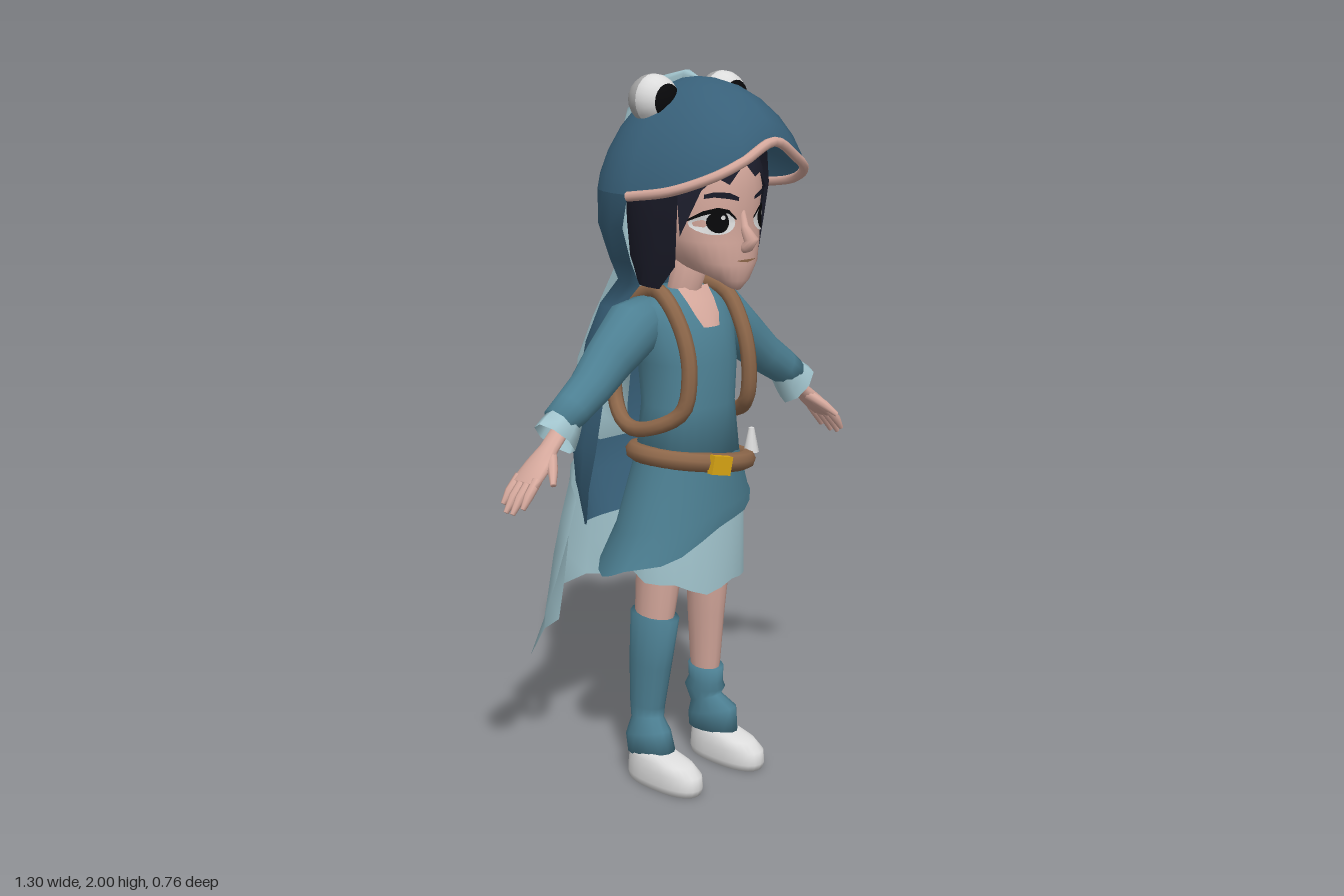
import * as THREE from 'three';

const mat = (name, color) => new THREE.MeshStandardMaterial({ name, color, side: THREE.DoubleSide });
const V = (p) => new THREE.Vector3(p[0], p[1], p[2]);
const spow = (v, p) => Math.sign(v) * Math.abs(v) ** p;

// Surface through rows of points; closed wraps each row, cap fills both ends
function surface(rows, closed = true, cap = closed) {
  const n = rows[0].length, pos = rows.flat(2), idx = [];
  for (let i = 0; i < rows.length - 1; i++)
    for (let j = 0; j < (closed ? n : n - 1); j++) {
      const k = (j + 1) % n, a = i * n + j, b = i * n + k;
      idx.push(a, b, b + n, a, b + n, a + n);
    }
  if (cap) [0, rows.length - 1].forEach((r, e) => {
    const c = pos.length / 3;
    pos.push(...[0, 1, 2].map((q) => rows[r].reduce((s, p) => s + p[q], 0) / n));
    for (let j = 0; j < n; j++) {
      const a = r * n + j, b = r * n + (j + 1) % n;
      idx.push(c, e ? a : b, e ? b : a);
    }
  });
  const g = new THREE.BufferGeometry();
  g.setAttribute('position', new THREE.Float32BufferAttribute(pos, 3));
  g.setIndex(idx);
  g.computeVertexNormals();
  return g;
}

// Horizontal oval between depths zf and zb; y may depend on the angle
function oval(y, cx, rx, zf, zb, p = 1, n = 24) {
  return Array.from({ length: n }, (_, j) => {
    const a = (j / n) * Math.PI * 2;
    return [cx + rx * spow(Math.sin(a), p), typeof y === 'function' ? y(a) : y,
      (zf + zb) / 2 + ((zf - zb) / 2) * spow(Math.cos(a), p)];
  });
}

// Half oval open at the front, from +x round the back to -x
function arc([y, w, zf, zb], p = 0.85, n = 16) {
  return Array.from({ length: n + 1 }, (_, k) => {
    const a = (k / n) * Math.PI;
    return [w * spow(Math.cos(a), p), y, zf + (zb - zf) * Math.abs(Math.sin(a)) ** p];
  });
}

// Limb through stations [x, y, z, radius, depth radius]
function limb(st, n = 12, cap = true) {
  return surface(st.map((s, i) => {
    const T = V(st[Math.min(i + 1, st.length - 1)]).sub(V(st[Math.max(i - 1, 0)])).normalize();
    const B = new THREE.Vector3(0, 0, 1).addScaledVector(T, -T.z).normalize();
    const N = B.clone().cross(T);
    return Array.from({ length: n }, (_, j) => {
      const a = (j / n) * Math.PI * 2;
      return V(s).addScaledVector(N, s[3] * Math.cos(a))
        .addScaledVector(B, (s[4] ?? s[3]) * Math.sin(a)).toArray();
    });
  }), true, cap);
}

const tube = (pts, r, closed, seg = 40) =>
  new THREE.TubeGeometry(new THREE.CatmullRomCurve3(pts.map(V), closed), seg, r, 8, closed);

// Head levels: y, half width, front z, back z
const HEAD = [[1.43, 0.035, 0.255, 0.12], [1.455, 0.078, 0.27, 0.05], [1.5, 0.115, 0.28, 0], [1.56, 0.14, 0.276, -0.03],
  [1.63, 0.15, 0.27, -0.06], [1.7, 0.155, 0.28, -0.08], [1.78, 0.15, 0.26, -0.08], [1.88, 0.1, 0.2, -0.03]];
function faceZ(x, y) {
  let i = 0;
  while (i < HEAD.length - 2 && HEAD[i + 1][0] < y) i++;
  const t = (y - HEAD[i][0]) / (HEAD[i + 1][0] - HEAD[i][0]);
  const [rx, zf, zb] = [1, 2, 3].map((q) => HEAD[i][q] + (HEAD[i + 1][q] - HEAD[i][q]) * t);
  const s = Math.min((Math.abs(x) / rx) ** (1 / 0.9), 0.95);
  return (zf + zb) / 2 + ((zf - zb) / 2) * (1 - s * s) ** 0.45;
}
// Thin face details that follow the head
function spot(cx, cy, rx, ry, lift) {
  const g = new THREE.CircleGeometry(1, 20).scale(rx, ry, 1).translate(cx, cy, 0), p = g.attributes.position;
  for (let i = 0; i < p.count; i++) p.setZ(i, faceZ(p.getX(i), p.getY(i)) + lift);
  g.computeVertexNormals();
  return g;
}
const strip = (pts, lift) => surface([-1, 1].map((e) =>
  pts.map(([x, y, h]) => [x, y + e * h, faceZ(x, y + e * h) + lift])), false);

export function createModel() {
  const root = new THREE.Group();
  root.name = 'hoodedChild';
  const hood = mat('hoodBlue', 0x386079), teal = mat('tunicTeal', 0x4d8093), pale = mat('paleBlue', 0xa3c6cf),
    skin = mat('skin', 0xd6a99d), hair = mat('hair', 0x1c1d2b), leather = mat('leather', 0x8d674a),
    white = mat('white', 0xdcdcdc), black = mat('black', 0x08080a), gold = mat('gold', 0xd9a514), grey = mat('grey', 0xa8a8a8);
  const add = (name, g, m) => {
    const mesh = new THREE.Mesh(g, m);
    mesh.name = name;
    root.add(mesh);
    return mesh;
  };

  // Head with a jaw that rises towards the neck, neck and nose
  add('head', surface(HEAD.map(([y, ...r], i) =>
    oval((a) => y + Math.max(0, 0.035 - i * 0.008) * (1 - Math.cos(a)), 0, ...r, 0.9, 32))), skin);
  add('neck', limb([[0, 1.3, 0.03, 0.05], [0, 1.4, 0.045, 0.046], [0, 1.5, 0.08, 0.05]]), skin);
  add('nose', limb([[0, 1.65, 0.262, 0.008], [0, 1.6, 0.273, 0.012], [0, 1.567, 0.3, 0.015, 0.024],
    [0, 1.548, 0.285, 0.018, 0.016], [0, 1.538, 0.268, 0.014, 0.01]]), skin);
  add('mouth', strip([[-0.034, 1.513, 0.001], [0, 1.511, 0.004], [0.034, 1.513, 0.001]], 0.006), leather);
  for (const s of [-1, 1]) {
    add('eyeWhite', spot(s * 0.084, 1.615, 0.049, 0.031, 0.005), white);
    add('iris', spot(s * 0.081, 1.618, 0.026, 0.029, 0.007), black);
    add('eyeGlint', spot(s * 0.081 + 0.01, 1.629, 0.006, 0.006, 0.009), white);
    add('lash', strip([[0.033, 1.623, 0.003], [0.057, 1.644, 0.005], [0.085, 1.65, 0.006], [0.114, 1.641, 0.006],
      [0.135, 1.622, 0.003]].map(([x, ...r]) => [s * x, ...r]), 0.008), black);
    add('eyebrow', strip([[0.03, 1.676, 0.005], [0.06, 1.686, 0.008], [0.095, 1.69, 0.007], [0.14, 1.674, 0.003]]
      .map(([x, ...r]) => [s * x, ...r]), 0.007), hair);
  }

  // Hair: back and sides, then a jagged fringe
  add('hairBack', surface([[1.43, 0.145, 0.1, -0.05], [1.5, 0.16, 0.175, -0.09], [1.6, 0.168, 0.188, -0.1],
    [1.7, 0.175, 0.2, -0.1], [1.8, 0.165, 0.2, -0.08], [1.88, 0.11, 0.15, -0.03]].map((r) => arc(r, 0.75)), false), hair);
  const bangs = [1.58, 1.7, 1.735, 1.715, 1.745, 1.765, 1.73, 1.74, 1.7, 1.69, 1.58];
  add('fringe', surface([0, 0.33, 0.66, 1].map((t) => bangs.map((b, i) => {
    const x = (i - 5) * 0.0305, y = b + (1.86 - b) * t;
    return [x, y, faceZ(x, y) + 0.012];
  })), false), hair);

  // Hood dome, brim trim and cape
  const brim = [[0.26, 1.69, 0.1], [0.235, 1.712, 0.235], [0.17, 1.752, 0.33], [0.1, 1.787, 0.362], [0, 1.833, 0.375]];
  const mirrored = brim.slice(0, -1).map(([x, y, z]) => [-x, y, z]);
  const neckRow = [1.69, 0.26, 0.1, -0.15];
  const edge = [...brim.slice(1).reverse(), ...arc(neckRow), ...mirrored.slice(1)];
  add('hood', surface([1, 0.85, 0.7, 0.55, 0.4, 0.25, 0.1, 0.001].map((t) => {
    const s = Math.sin(t * Math.PI / 2), c = Math.cos(t * Math.PI / 2) ** 1.35;
    return edge.map(([x, y, z]) => [x * s, y + (1.985 - y) * c, 0.1 + (z - 0.1) * s]);
  }), true, false), hood);
  add('hoodTrim', tube([...brim, ...mirrored.reverse()].map(([x, y, z]) => [x, y - 0.004, z]), 0.013, false), skin);
  const cape = [[0.73, 0.19, -0.15, -0.2], [0.85, 0.225, -0.1, -0.25], [0.97, 0.243, -0.05, -0.275], [1.1, 0.23, -0.035, -0.265],
    [1.25, 0.2, -0.03, -0.245], [1.36, 0.165, -0.03, -0.2], [1.43, 0.14, 0.02, -0.145], [1.5, 0.2, 0.05, -0.14],
    [1.6, 0.25, 0.07, -0.15], neckRow];
  add('cape', surface(cape.map((r) => arc(r)), false), hood);

  // Back fin: outer y, z, inner y, z, half width
  const fin = [[1.985, 0.1, 1.97, 0.1, 0.002], [2, 0.06, 1.95, 0.06, 0.016], [1.975, -0.05, 1.9, -0.01, 0.036],
    [1.89, -0.14, 1.82, -0.06, 0.05], [1.77, -0.18, 1.73, -0.1, 0.055], [1.55, -0.175, 1.55, -0.12, 0.054],
    [1.45, -0.19, 1.43, -0.12, 0.055], [1.3, -0.28, 1.27, -0.19, 0.062], [1.17, -0.345, 1.16, -0.23, 0.066],
    [1.03, -0.373, 1.03, -0.24, 0.058], [0.94, -0.275, 0.94, -0.24, 0.052]];
  add('backFin', surface(fin.map(([yo, zo, yi, zi, w]) =>
    [[1, 0], [0.95, 0.8], [0.6, 1], [-0.6, 1], [-0.95, 0.8], [-1, 0]].map(([x, t]) =>
      [x * w, yi + (yo - yi) * t, zi + (zo - zi) * t]))), pale);

  // Tail fin: fluted sheet from top edge to scalloped hem
  const top = [[0, 0.93, -0.295], [0.05, 0.925, -0.3], [0.1, 0.9, -0.285], [0.15, 0.88, -0.26], [0.19, 0.85, -0.22], [0.21, 0.8, -0.17]];
  const hem = [[0, 0.51, -0.285], [0.09, 0.535, -0.265], [0.18, 0.525, -0.265], [0.225, 0.435, -0.235], [0.29, 0.425, -0.225], [0.365, 0.37, -0.2]];
  const both = (l) => [...l.slice(1).reverse().map(([x, y, z]) => [-x, y, z]), ...l];
  const [T, H] = [both(top), both(hem)];
  add('tailFin', surface([0, 0.25, 0.5, 0.75, 1].map((t) => T.map((p, i) =>
    p.map((v, q) => v + (H[i][q] - v) * t + (q === 2 ? (i % 2 ? -0.014 : 0.014) * Math.sin(t * Math.PI) : 0)))), false), pale);

  // Toy eyes on the hood: white front half, grey back half, pupil
  for (const s of [-1, 1]) {
    const half = (r, theta, tilt) => new THREE.SphereGeometry(r, 20, 8, 0, Math.PI * 2, 0, theta)
      .rotateX(tilt).translate(s * 0.13, 1.928, 0.065);
    add('hoodEyeFront', half(0.067, Math.PI / 2, Math.PI / 2), white);
    add('hoodEyeBack', half(0.067, Math.PI / 2, -Math.PI / 2), grey);
    add('hoodPupil', half(0.069, 0.72, 1.62), black);
  }

  // Tunic, neckline and skirts
  add('tunic', surface([[0.95, 0.155, 0.19, -0.06], [1.1, 0.135, 0.182, -0.05], [1.22, 0.143, 0.185, -0.06],
    [1.32, 0.16, 0.155, -0.07], [1.38, 0.15, 0.115, -0.06], [1.415, 0.08, 0.085, -0.03]].map(([y, ...r]) => oval(y, 0, ...r, 0.9))), teal);
  add('neckline', surface([[1.318, 0.03, 0.162], [1.35, 0.045, 0.145], [1.385, 0.052, 0.12], [1.42, 0.058, 0.088]].map(([y, w, z]) =>
    [-1, -0.5, 0, 0.5, 1].map((u) => [u * w, y, z - u * u * 0.006])), false), skin);
  const hemY = (a) => 0.72 + 0.085 * Math.sin(a) + 0.03 * Math.cos(a) + 0.01 * Math.cos(5 * a);
  add('tunicSkirt', surface([oval(hemY, -0.01, 0.25, 0.2, -0.15), oval((a) => hemY(a) * 0.5 + 0.43, 0, 0.212, 0.203, -0.115),
    oval(0.96, 0, 0.16, 0.193, -0.065)], true, false), teal);
  add('underskirt', surface([oval((a) => 0.635 - 0.06 * Math.cos(a) + 0.012 * Math.sin(6 * a), 0.012, 0.198, 0.185, -0.11),
    oval(0.76, 0.008, 0.195, 0.185, -0.095), oval(0.9, 0, 0.15, 0.165, -0.05)], true, false), pale);

  // Belt, buckle, charm and shoulder straps
  add('belt', tube(Array.from({ length: 16 }, (_, i) => {
    const a = i * Math.PI / 8;
    return [0.018 + 0.172 * Math.cos(a), 0.94 - 0.027 * Math.cos(a), 0.06 + 0.14 * Math.sin(a)];
  }), 0.027, true, 48), leather);
  const buckle = add('buckle', new THREE.BoxGeometry(0.064, 0.052, 0.022), gold);
  buckle.position.set(-0.03, 0.945, 0.22);
  buckle.rotation.set(0, -0.15, -0.2);
  add('beltCharm', new THREE.CylinderGeometry(0.008, 0.022, 0.07, 10).translate(0.17, 0.97, 0.15), white);
  for (const s of [-1, 1])
    add('strap', tube([[0.1, 1.415, 0.03], [0.115, 1.395, 0.1], [0.115, 1.3, 0.165], [0.117, 1.2, 0.187], [0.127, 1.1, 0.17],
      [0.16, 1.05, 0.09], [0.165, 1.04, 0], [0.13, 1.1, -0.09], [0.11, 1.33, -0.09]].map(([x, y, z]) => [s * x, y, z]), 0.022, true), leather);

  // Arms, cuffs and hands
  for (const s of [-1, 1]) {
    const side = (st) => st.map(([x, ...r]) => [s * x, ...r]);
    add('sleeve', limb(side([[0.09, 1.345, 0.01, 0.06, 0.07], [0.17, 1.315, 0.02, 0.083, 0.08], [0.26, 1.245, 0.025, 0.07, 0.068],
      [0.34, 1.18, 0.035, 0.058, 0.06], [0.41, 1.135, 0.04, 0.052, 0.055], [0.455, 1.107, 0.04, 0.046, 0.05]]), 14), teal);
    add('cuff', limb(side([[0.425, 1.12, 0.04, 0.046, 0.045], [0.455, 1.09, 0.045, 0.062, 0.05], [0.477, 1.067, 0.048, 0.07, 0.052]]), 8, false), pale);
    add('hand', limb(side([[0.44, 1.1, 0.045, 0.022, 0.026], [0.5, 1.045, 0.05, 0.02, 0.03], [0.54, 1.01, 0.055, 0.021, 0.045],
      [0.59, 0.968, 0.056, 0.014, 0.052]])), skin);
    for (let f = 0; f < 4; f++) {
      const u = f - 1.5, len = 1.05 - 0.1 * u * u;
      add('finger', limb(side([[0.575, 0.982, 0.055 + u * 0.023, 0.014], [0.575 + 0.04 * len, 0.982 - 0.043 * len, 0.056 + u * 0.025, 0.013],
        [0.575 + 0.066 * len, 0.982 - 0.08 * len, 0.056 + u * 0.026, 0.007]]), 8), skin);
    }
    add('thumb', limb(side([[0.505, 1.035, 0.065, 0.016], [0.535, 1.005, 0.105, 0.014], [0.56, 0.975, 0.135, 0.008]]), 8), skin);
  }

  // Legs, socks and shoes
  for (const s of [-1, 1]) {
    add('leg', limb([[s * 0.095, 0.78, 0.045, 0.075], [s * 0.1, 0.6, 0.048, 0.058, 0.068], [s * 0.107, 0.45, 0.035, 0.046, 0.06],
      [s * 0.113, 0.3, 0.027, 0.038, 0.05], [s * 0.12, 0.1, 0.02, 0.026]], 14), skin);
    add('shoe', surface([[0, 0.055, 0.23, -0.026], [0.02, 0.06, 0.238, -0.03], [0.055, 0.058, 0.234, -0.028], [0.078, 0.052, 0.2, -0.025],
      [0.1, 0.042, 0.11, -0.02]].map(([y, ...r]) => oval(y, s * 0.128, ...r, 0.85))), white);
  }
  add('longSock', limb([[-0.11, 0.495, 0.045, 0.06, 0.078], [-0.113, 0.35, 0.03, 0.053, 0.068], [-0.116, 0.22, 0.02, 0.044, 0.056],
    [-0.118, 0.18, 0.022, 0.04, 0.053], [-0.128, 0.14, 0.035, 0.054, 0.075], [-0.125, 0.085, 0.045, 0.05, 0.085]], 14), teal);
  add('slouchSock', limb([[0.115, 0.28, 0.028, 0.045, 0.058], [0.118, 0.235, 0.025, 0.043, 0.056], [0.12, 0.21, 0.02, 0.052, 0.066],
    [0.12, 0.175, 0.025, 0.039, 0.055], [0.125, 0.14, 0.045, 0.052, 0.09], [0.125, 0.085, 0.05, 0.048, 0.09]], 14), teal);

  return root;
}
